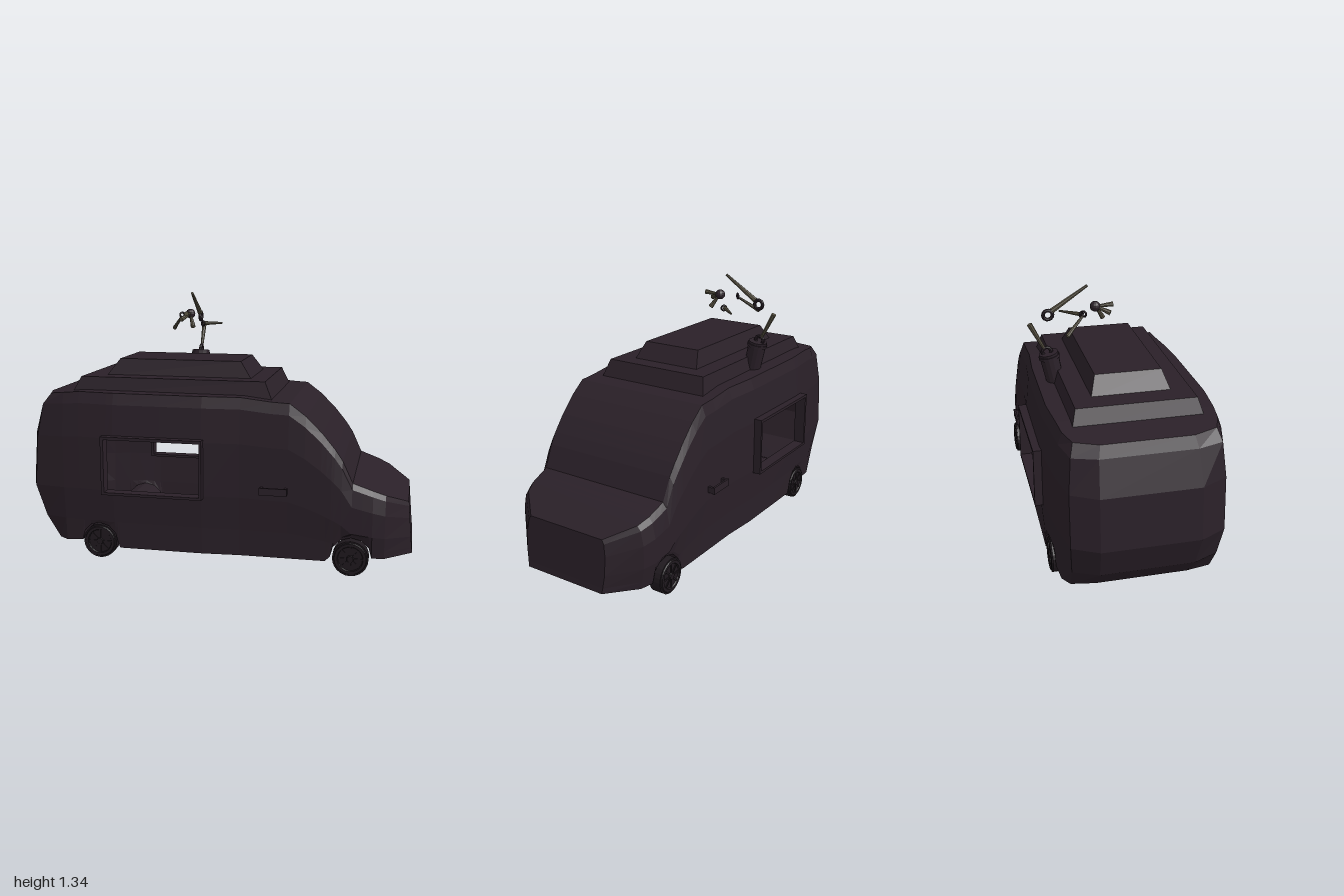
import * as THREE from 'three';

const mat = (color, side = THREE.FrontSide) => new THREE.MeshStandardMaterial({ color, side, flatShading: true });
const bodyMat = mat(0x2a2028, THREE.DoubleSide);
const trimMat = mat(0x2a2028);
const wheelMat = mat(0x1f191e);
const rodMat = mat(0x5a5444);

function add(parent, name, geo, material, x = 0, y = 0, z = 0) {
  const m = new THREE.Mesh(geo, material);
  m.name = name;
  m.position.set(x, y, z);
  parent.add(m);
  return m;
}

// Piecewise linear profile through [x, value] points
function lerpAt(pts, x) {
  if (x <= pts[0][0]) return pts[0][1];
  for (let i = 1; i < pts.length; i++) {
    const [x0, a] = pts[i - 1], [x1, b] = pts[i];
    if (x <= x1) return a + (b - a) * (x - x0) / (x1 - x0);
  }
  return pts[pts.length - 1][1];
}

// Van outline: roof height and half width along the length
const TOP = [[-0.89, 0.84], [-0.7, 0.865], [0.15, 0.862], [0.3, 0.845], [0.39, 0.84], [0.47, 0.78],
  [0.55, 0.70], [0.64, 0.59], [0.70, 0.46], [0.84, 0.41], [0.97, 0.345]];
const HALF = [[-0.92, 0.36], [-0.75, 0.4], [-0.5, 0.425], [0, 0.42], [0.15, 0.405], [0.6, 0.4], [0.8, 0.385], [0.88, 0.355]];
const ROW_F = [0, 0.17, 0.381, 0.719, 0.93, 1];
const ROW_W = [0.95, 0.965, 1, 1, 0.96, 0.91];
const WIN = { x0: -0.53, x1: -0.04, y0: 0.37, y1: 0.64 };
const AXLES = [-0.58, 0.70];

// One closed cross-section: right rows upward, then left rows downward
function section(xs, bottom, top, half) {
  const ys = ROW_F.map((f) => 0.065 + f * (top - 0.065));
  ys[0] = bottom;
  ys[1] = Math.max(ys[1], bottom + 0.015);
  const right = ys.map((y, j) => new THREE.Vector3(Array.isArray(xs) ? xs[j] : xs, y, half * ROW_W[j]));
  return [...right, ...right.map((p) => new THREE.Vector3(p.x, p.y, -p.z)).reverse()];
}

function bodyGeometry() {
  const at = (x, bottom) => section(x, bottom, lerpAt(TOP, x), lerpAt(HALF, x));
  const arch = (cx) => [180, 150, 120, 90, 60, 30, 0].map((d) => {
    const a = d * Math.PI / 180;
    return at(cx + 0.1 * Math.cos(a), 0.09 + 0.1 * Math.sin(a));
  });
  const rings = [
    section([-0.84, -0.94, -1, -0.98, -0.92, -0.89], 0.08, 0.84, 0.235),
    section([-0.82, -0.89, -0.94, -0.92, -0.89, -0.85], 0.08, 0.845, 0.36),
    at(-0.77, 0.08),
    ...arch(AXLES[0]),
    ...[-0.47, -0.25, -0.04, 0.15, 0.3, 0.39, 0.47, 0.55, 0.575].map((x) => at(x, 0.065)),
    ...arch(AXLES[1]),
    at(0.86, 0.085),
    section(ROW_F.map((f) => 0.995 - 0.025 * f), 0.085, 0.345, 0.235),
  ];
  const pos = [];
  const quad = (a, b, c, d) => [a, b, c, a, c, d].forEach((p) => pos.push(p.x, p.y, p.z));
  const n = 12;
  for (let i = 0; i < rings.length - 1; i++) {
    const A = rings[i], B = rings[i + 1];
    const mid = (A[2].x + B[2].x) / 2;
    for (let k = 0; k < n; k++) {
      // leave the serving windows open on both sides
      if (mid > WIN.x0 && mid < WIN.x1 && (k === 2 || k === 8)) continue;
      const k2 = (k + 1) % n;
      quad(A[k], B[k], B[k2], A[k2]);
    }
  }
  // nose and tail panels
  const R = rings[0], F = rings[rings.length - 1];
  for (let j = 0; j < 5; j++) {
    quad(F[j], F[11 - j], F[10 - j], F[j + 1]);
    quad(R[11 - j], R[j], R[j + 1], R[10 - j]);
  }
  const geo = new THREE.BufferGeometry();
  geo.setAttribute('position', new THREE.Float32BufferAttribute(pos, 3));
  geo.computeVertexNormals();
  return geo;
}

// Box whose top rectangle is smaller than its base: [x0, x1, halfZ] each
function taperedTier(base, top, y0, y1) {
  const geo = new THREE.BoxGeometry(1, 1, 1);
  const p = geo.attributes.position;
  for (let i = 0; i < p.count; i++) {
    const up = p.getY(i) > 0, r = up ? top : base;
    p.setXYZ(i, p.getX(i) > 0 ? r[1] : r[0], up ? y1 : y0, Math.sign(p.getZ(i)) * r[2]);
  }
  geo.computeVertexNormals();
  return geo;
}

function rectPath(P, x0, x1, y0, y1) {
  const s = new P();
  s.moveTo(x0, y0);
  s.lineTo(x1, y0);
  s.lineTo(x1, y1);
  s.lineTo(x0, y1);
  s.closePath();
  return s;
}

// Cylinder or cone running between two points
function rod(parent, name, a, b, ra, rb, material = rodMat, sides = 8) {
  const A = new THREE.Vector3(...a), B = new THREE.Vector3(...b);
  const m = add(parent, name, new THREE.CylinderGeometry(rb, ra, A.distanceTo(B), sides), material);
  m.position.copy(A).lerp(B, 0.5);
  m.quaternion.setFromUnitVectors(new THREE.Vector3(0, 1, 0), B.clone().sub(A).normalize());
  return m;
}

function wheel(x, side) {
  const g = new THREE.Group();
  g.name = 'wheel';
  const turn = (geo) => geo.rotateX(Math.PI / 2);
  add(g, 'tire', turn(new THREE.CylinderGeometry(0.088, 0.088, 0.06, 24)), wheelMat);
  add(g, 'tireRim', new THREE.TorusGeometry(0.07, 0.014, 6, 24), wheelMat, 0, 0, 0.024);
  add(g, 'hub', turn(new THREE.CylinderGeometry(0.016, 0.02, 0.012, 10)), wheelMat, 0, 0, 0.033);
  for (let i = 0; i < 8; i++) {
    const spoke = new THREE.BoxGeometry(0.05, 0.008, 0.006).translate(0.04, 0, 0.031).rotateZ(i * Math.PI / 4);
    add(g, 'spoke', spoke, wheelMat);
  }
  g.position.set(x, 0.092, side * 0.368);
  if (side < 0) g.rotation.y = Math.PI;
  return g;
}

export function createModel() {
  const van = new THREE.Group();
  van.name = 'camperVan';
  add(van, 'body', bodyGeometry(), bodyMat);

  // Stepped roof
  add(van, 'lowerRoof', taperedTier([-0.745, 0.295, 0.31], [-0.70, 0.255, 0.285], 0.84, 0.93), trimMat);
  add(van, 'upperRoof', taperedTier([-0.595, 0.17, 0.19], [-0.53, 0.11, 0.16], 0.925, 1.012), trimMat);

  // Window frames, door handles and wheels on both sides
  const frame = rectPath(THREE.Shape, -0.545, -0.028, 0.357, 0.655);
  frame.holes.push(rectPath(THREE.Path, WIN.x0, WIN.x1, WIN.y0, WIN.y1));
  const frameGeo = new THREE.ExtrudeGeometry(frame, { depth: 0.06, bevelEnabled: false });
  for (const s of [1, -1]) {
    add(van, 'windowFrame', frameGeo, trimMat, 0, 0, s > 0 ? 0.4 : -0.46);
    const grip = add(van, 'doorHandle', new THREE.BoxGeometry(0.135, 0.036, 0.01), trimMat, 0.322, 0.415, s * 0.435);
    for (const dx of [-0.06, 0.06]) add(grip, 'handleMount', new THREE.BoxGeometry(0.014, 0.03, 0.04), trimMat, dx, 0, -s * 0.02);
    for (const x of AXLES) van.add(wheel(x, s));
  }

  // Roof canister with its antenna rod
  const X = -0.215;
  const mast = new THREE.Group();
  mast.name = 'antenna';
  van.add(mast);
  rod(mast, 'canister', [X, 0.865, -0.293], [X, 1.012, -0.322], 0.043, 0.048, trimMat, 14);
  rod(mast, 'canisterBand', [X, 0.985, -0.317], [X, 1.0, -0.32], 0.052, 0.052, trimMat, 14);
  rod(mast, 'antennaRod', [X, 1.03, -0.34], [X, 1.165, -0.41], 0.008, 0.013);

  // Loose rods, each hinged on a ring
  const ring = (x, y, z, r, turn) => {
    add(mast, 'ring', new THREE.TorusGeometry(r, r * 0.4, 8, 14), trimMat, x, y, z).rotation.y = turn;
  };
  ring(X, 1.018, -0.33, 0.022, Math.PI / 2);
  ring(X, 1.205, -0.32, 0.023, Math.PI / 2);
  rod(mast, 'longRod', [X, 1.225, -0.3], [X, 1.34, -0.125], 0.014, 0.007);
  ring(-0.28, 1.22, -0.157, 0.013, 0.8);
  rod(mast, 'shortRod', [-0.285, 1.21, -0.165], [-0.35, 1.14, -0.25], 0.006, 0.011);
  ring(-0.16, 1.176, -0.145, 0.013, -0.8);
  rod(mast, 'shortRod', [-0.155, 1.177, -0.155], [-0.075, 1.173, -0.24], 0.011, 0.005);
  add(mast, 'ball', new THREE.SphereGeometry(0.026, 12, 8), trimMat, X, 1.232, -0.088);
  for (const tip of [[X, 1.237, 0], [-0.25, 1.205, -0.02], [-0.19, 1.165, -0.045]]) {
    rod(mast, 'prong', [X, 1.232, -0.085], tip, 0.006, 0.013);
  }
  return van;
}
